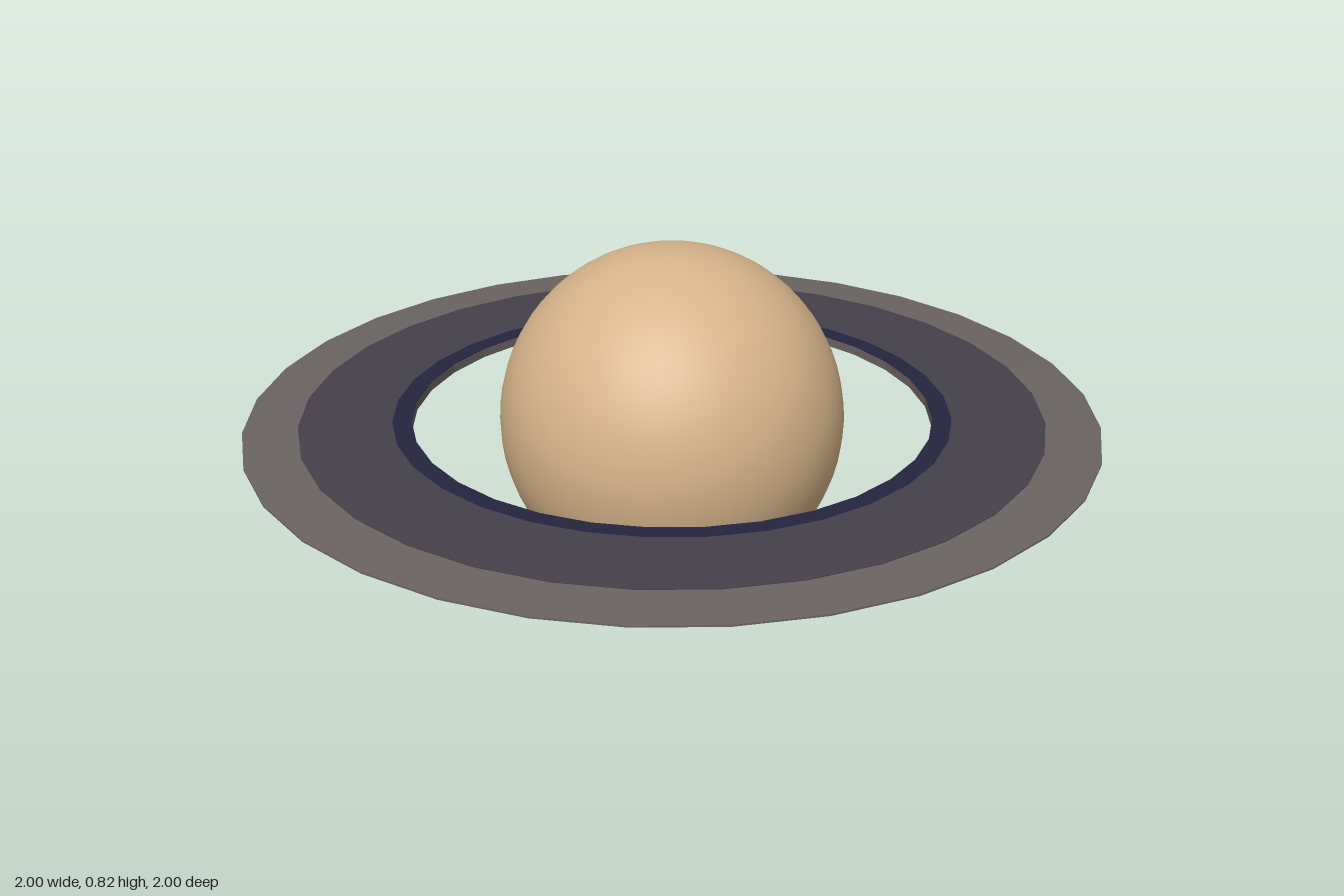
import * as THREE from 'three';

const CENTRE_Y = 0.4125;
const SIDES = 32;
const INNER = 0.61, TAPER = 0.83, OUTER = 1.0; // ring radii
const HALF = 0.011; // half thickness of the flat part of the ring
const PAINT = 0.0015; // thickness of the coloured bands

const material = (name, color) => {
  const m = new THREE.MeshStandardMaterial({ color });
  m.name = name;
  return m;
};

// Height of the ring surface: flat inside, tapering to a thin rim
const surface = (r) =>
  r <= TAPER ? HALF : HALF - (HALF - 0.002) * (r - TAPER) / (OUTER - TAPER);

// Revolves a closed [radius, height] loop with crisp facets
function ring(name, loop, mat) {
  const points = [...loop, loop[0]].map(([r, y]) => new THREE.Vector2(r, y));
  const geometry = new THREE.LatheGeometry(points, SIDES).toNonIndexed();
  geometry.computeVertexNormals();
  const mesh = new THREE.Mesh(geometry, mat);
  mesh.name = name;
  mesh.position.y = CENTRE_Y + 0.003;
  return mesh;
}

// Thin band lying on the top (side = 1) or underside (side = -1) of the ring
function band(name, side, r0, r1, mat) {
  const radii = [r0, ...(r0 < TAPER && r1 > TAPER ? [TAPER] : []), r1];
  const base = radii.map((r) => [r, side * surface(r)]);
  const cover = radii.map((r) => [r, side * (surface(r) + PAINT)]).reverse();
  const loop = [...base, ...cover];
  return ring(name, side > 0 ? loop : loop.reverse(), mat);
}

export function createModel() {
  const tan = material('planet tan', 0xd6b48a);
  const grey = material('ring grey', 0x6a6362);
  const purple = material('ring purple', 0x45404a);
  const navy = material('ring navy', 0x24253f);

  const model = new THREE.Group();
  model.name = 'ringedPlanet';

  // Globe, very slightly taller than wide
  const globe = new THREE.Mesh(new THREE.SphereGeometry(0.405, 48, 32), tan);
  globe.name = 'globe';
  globe.scale.y = CENTRE_Y / 0.405;
  globe.position.y = CENTRE_Y;
  model.add(globe);

  // Ring body with a tapered rim
  const rim = surface(OUTER);
  model.add(ring('ringBody', [
    [INNER, -HALF], [TAPER, -HALF], [OUTER, -rim],
    [OUTER, rim], [TAPER, HALF], [INNER, HALF],
  ], grey));

  // Coloured bands
  model.add(
    band('innerBand', 1, INNER, 0.655, navy),
    band('middleBand', 1, 0.655, 0.872, purple),
    band('undersideBand', -1, 0.826, 0.895, purple),
  );
  return model;
}
